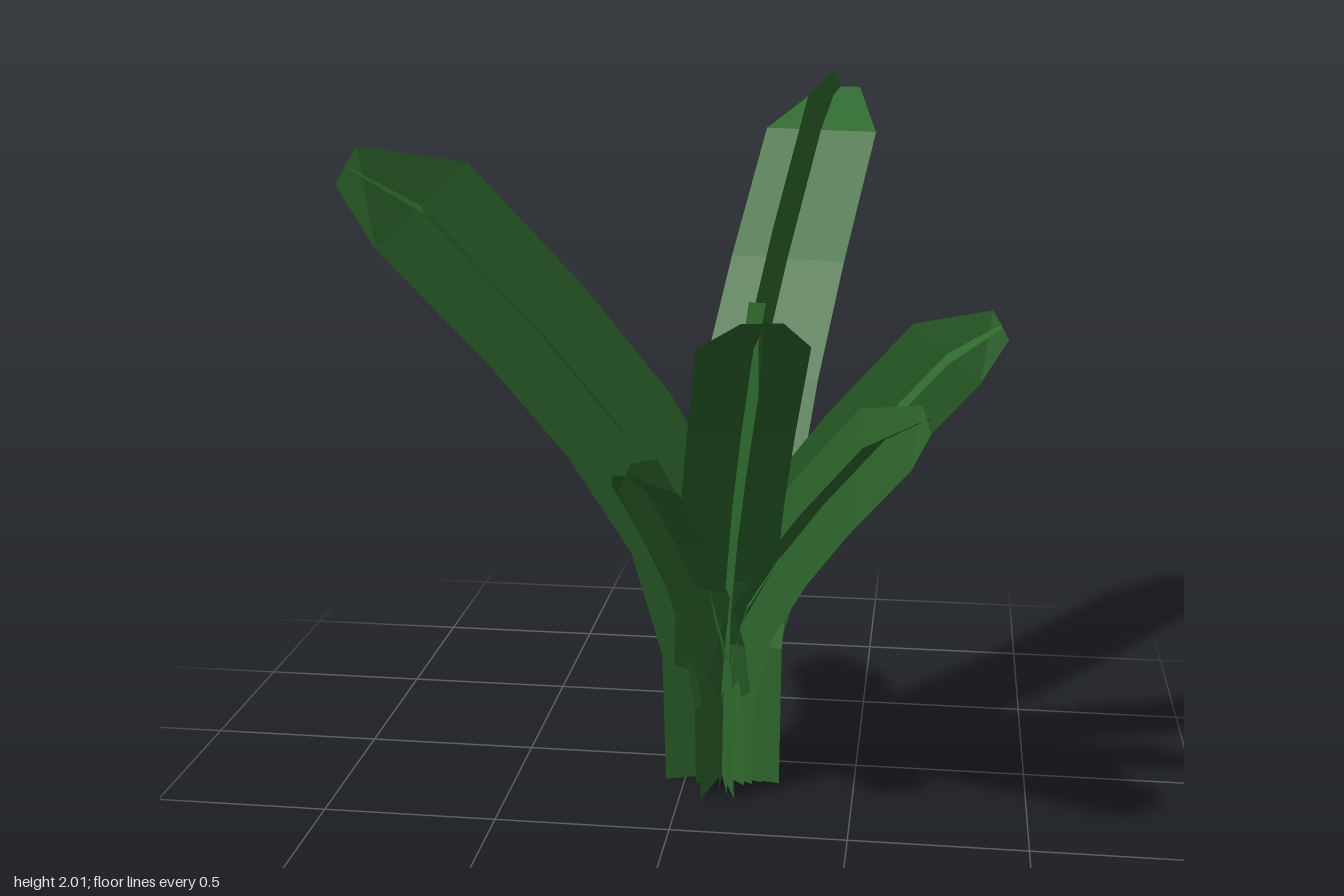
import * as THREE from 'three';

// Side profile of the largest leaf: [distance outward, height, half width]
const PROFILE = [
  [0, 0, 0.18], [0.01, 0.42, 0.18], [0.11, 0.8, 0.18], [0.32, 1.16, 0.18],
  [0.56, 1.47, 0.18], [0.88, 1.83, 0.18], [1.087, 1.95, 0.064],
];

// Common root of all leaves, and each leaf's tip position (x, z) and scale
const ROOT = [0.105, 0.115];
const LEAVES = [
  [0.365, -0.95, 1],
  [-0.87, 0.44, 0.945],
  [0.29, 0.95, 0.795],
  [0.87, 0.085, 0.71],
  [-0.65, -0.14, 0.73],
  [-0.34, -0.3, 0.56],
  [0.68, 0.45, 0.615],
  [-0.085, 0.685, 0.555],
];

// Ribbon between two edges; corner(i, side) gives a point on the -1 or +1 edge
function ribbon(corner) {
  const points = [];
  const index = [];
  PROFILE.forEach((_, i) => {
    points.push(...corner(i, -1), ...corner(i, 1));
    if (i > 0) {
      const a = 2 * i - 2;
      index.push(a, a + 1, a + 3, a, a + 3, a + 2);
    }
  });
  const geometry = new THREE.BufferGeometry();
  geometry.setAttribute('position', new THREE.Float32BufferAttribute(points, 3));
  geometry.setIndex(index);
  geometry.computeVertexNormals();
  return geometry;
}

// Flat blade, level across its width
const bladeGeometry = ribbon((i, side) => {
  const [r, y, w] = PROFILE[i];
  return [r, y, side * w];
});

// Upright blade crossing it, square to the segment below each point
const ribGeometry = ribbon((i, side) => {
  const [r, y, w] = PROFILE[i];
  const [r0, y0] = PROFILE[Math.max(i - 1, 0)];
  const along = new THREE.Vector2(r - r0, y - y0);
  if (i === 0) along.set(0, 1);
  along.normalize();
  const twist = i === PROFILE.length - 1 ? -0.015 * side : 0;
  return [r - side * w * along.y, y + side * w * along.x, twist];
});

export function createModel() {
  const plant = new THREE.Group();
  plant.name = 'plant';
  const green = new THREE.MeshStandardMaterial({
    color: 0x2f6a2e, flatShading: true, side: THREE.DoubleSide,
  });

  for (const [x, z, scale] of LEAVES) {
    const leaf = new THREE.Group();
    leaf.name = 'leaf';
    const blade = new THREE.Mesh(bladeGeometry, green);
    blade.name = 'flatBlade';
    const rib = new THREE.Mesh(ribGeometry, green);
    rib.name = 'uprightBlade';
    leaf.add(blade, rib);
    leaf.position.set(ROOT[0], 0, ROOT[1]);
    leaf.rotation.y = Math.atan2(-(z - ROOT[1]), x - ROOT[0]);
    leaf.scale.setScalar(scale);
    plant.add(leaf);
  }
  return plant;
}
